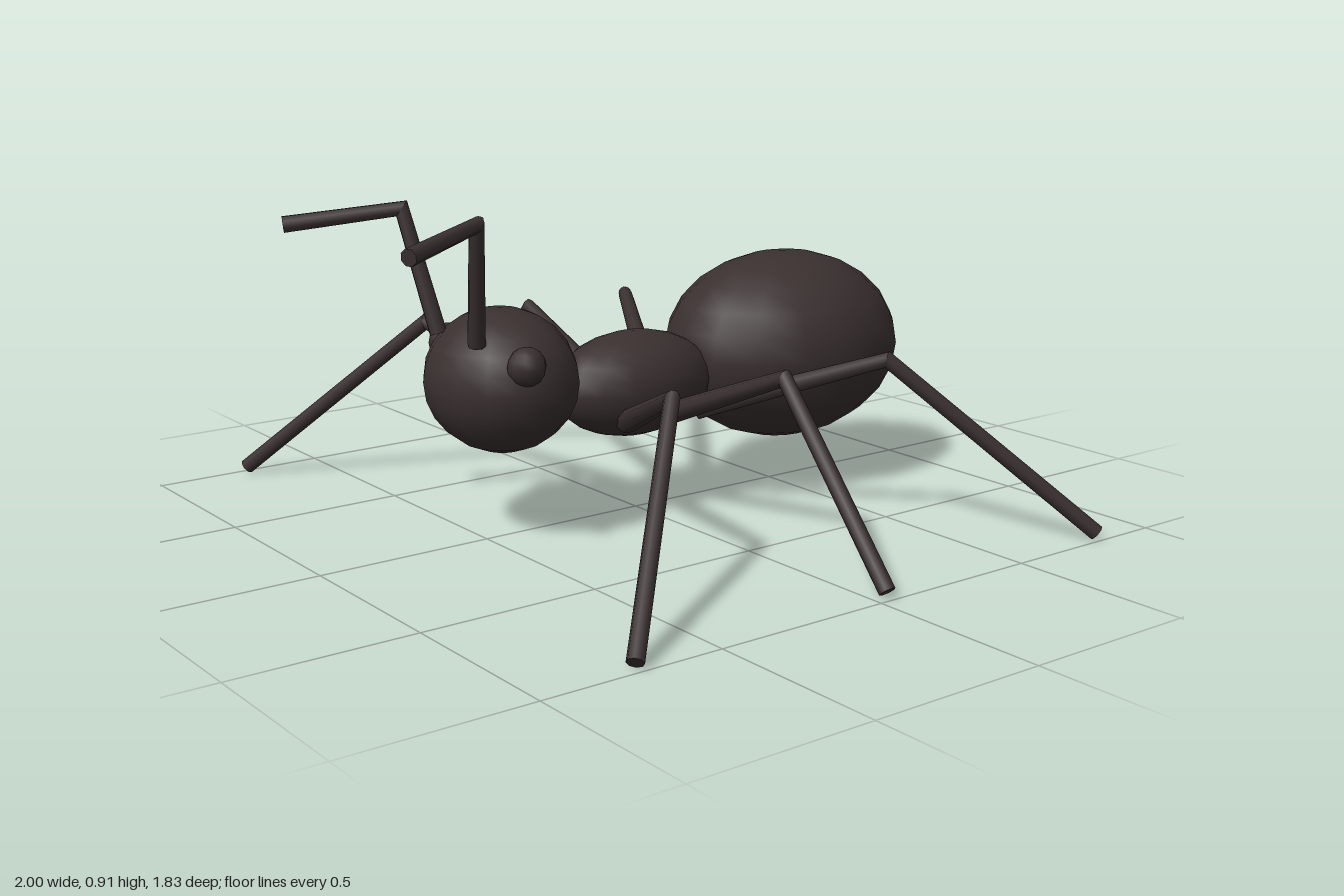
import * as THREE from 'three';

const shell = new THREE.MeshStandardMaterial({ color: 0x3a3030 });
shell.name = 'dark brown shell';

// Smooth ellipsoid body part
function ellipsoid(name, center, radii, w = 16, h = 12) {
  const geo = new THREE.SphereGeometry(1, w, h);
  geo.scale(...radii);
  const mesh = new THREE.Mesh(geo, shell);
  mesh.name = name;
  mesh.position.set(...center);
  return mesh;
}

// Tapered rod from a to b; the end at the joint is cut on the plane with normal n
function rod(name, a, b, ra, rb, joint, n) {
  const dir = b.clone().sub(a);
  const geo = new THREE.CylinderGeometry(rb, ra, dir.length(), 8);
  const axis = dir.clone().normalize();
  geo.applyQuaternion(new THREE.Quaternion().setFromUnitVectors(new THREE.Vector3(0, 1, 0), axis));
  const mid = a.clone().add(b).multiplyScalar(0.5);
  geo.translate(mid.x, mid.y, mid.z);
  const pos = geo.attributes.position;
  const p = new THREE.Vector3();
  for (let i = 0; i < pos.count; i++) {
    p.fromBufferAttribute(pos, i);
    if (p.distanceTo(joint) > 0.05) continue;
    const shift = -p.clone().sub(joint).dot(n) / axis.dot(n);
    p.addScaledVector(axis, shift);
    pos.setXYZ(i, p.x, p.y, p.z);
  }
  const mesh = new THREE.Mesh(geo, shell);
  mesh.name = name;
  return mesh;
}

// Two rods meeting in a mitred joint, on the side given by s
function limb(name, s, points, radii) {
  const [a, k, b] = points.map(([x, y, z]) => new THREE.Vector3(s * x, y, z));
  const n = k.clone().sub(a).normalize().add(b.clone().sub(k).normalize()).normalize();
  const group = new THREE.Group();
  group.name = name;
  group.add(rod('upperSegment', a, k, radii[0], radii[1], k, n));
  group.add(rod('lowerSegment', k, b, radii[1], radii[2], k, n));
  return group;
}

export function createModel() {
  const ant = new THREE.Group();
  ant.name = 'ant';

  // Three body sections
  ant.add(ellipsoid('head', [0, 0.435, 0.447], [0.225, 0.195, 0.204]));
  ant.add(ellipsoid('thorax', [0, 0.365, 0.01], [0.157, 0.148, 0.255]));
  ant.add(ellipsoid('abdomen', [0, 0.41, -0.538], [0.298, 0.275, 0.379]));

  const legs = {
    frontLeg: [[0.1, 0.285, 0.105], [0.59, 0.48, 0.33], [0.983, 0.017, 0.735]],
    middleLeg: [[0.1, 0.285, -0.02], [0.59, 0.48, -0.036], [0.983, 0.017, -0.036]],
    backLeg: [[0.1, 0.285, -0.145], [0.59, 0.48, -0.4], [0.983, 0.017, -0.815]],
  };

  for (const [side, s] of [['left', 1], ['right', -1]]) {
    ant.add(ellipsoid(side + 'Eye', [s * 0.195, 0.51, 0.493], [0.05, 0.052, 0.053], 10, 8));
    // Elbowed feelers
    ant.add(limb(side + 'Antenna', s,
      [[0.095, 0.56, 0.58], [0.185, 0.887, 0.63], [0.325, 0.852, 0.905]], [0.024, 0.02, 0.023]));
    // Six bent legs
    for (const [name, points] of Object.entries(legs)) {
      ant.add(limb(side + ' ' + name, s, points, [0.032, 0.021, 0.022]));
    }
  }
  return ant;
}
